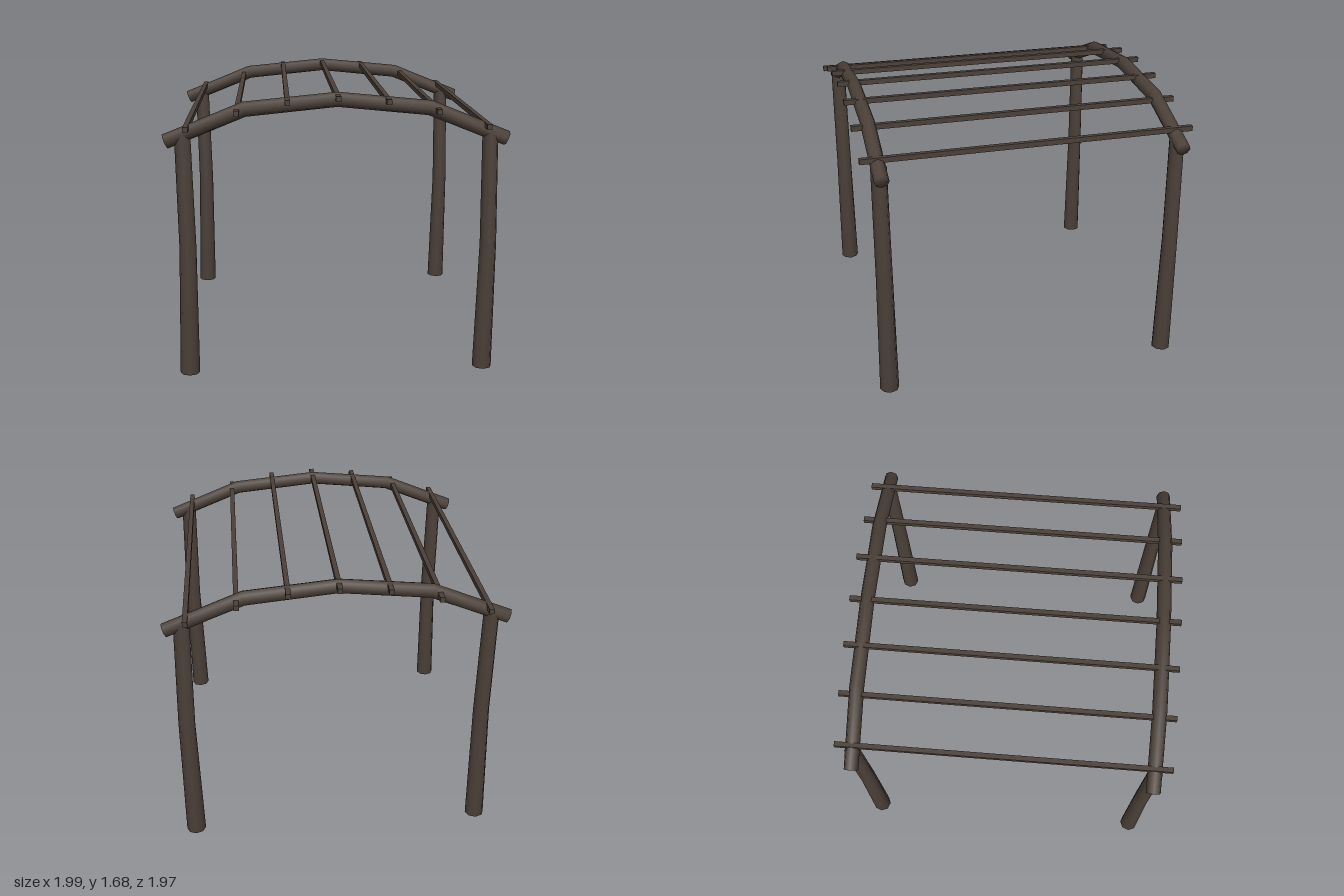
import * as THREE from 'three';

const SIDES = 8;

// Round log swept along points [x, y, radius] in the xy plane; smooth all over, ends included
function logGeometry(path) {
  const pts = path.map(([x, y]) => new THREE.Vector2(x, y));
  const pos = [], idx = [];
  const last = pts.length - 1;
  pts.forEach((p, i) => {
    const a = pts[Math.max(i - 1, 0)], b = pts[Math.min(i + 1, last)];
    const t = b.clone().sub(a).normalize();
    for (let j = 0; j < SIDES; j++) {
      const ang = (j / SIDES) * Math.PI * 2, r = path[i][2];
      pos.push(p.x - t.y * r * Math.cos(ang), p.y + t.x * r * Math.cos(ang), r * Math.sin(ang));
    }
  });
  const start = pos.length / 3;
  pos.push(pts[0].x, pts[0].y, 0, pts[last].x, pts[last].y, 0);
  for (let j = 0; j < SIDES; j++) {
    const k = (j + 1) % SIDES, e = last * SIDES;
    for (let i = 0; i < last; i++) {
      const a = i * SIDES + j, b = i * SIDES + k;
      idx.push(a, b, b + SIDES, a, b + SIDES, a + SIDES);
    }
    idx.push(start, k, j, start + 1, e + j, e + k);
  }
  const g = new THREE.BufferGeometry();
  g.setAttribute('position', new THREE.Float32BufferAttribute(pos, 3));
  g.setIndex(idx);
  g.computeVertexNormals();
  return g;
}

export function createModel() {
  const model = new THREE.Group();
  model.name = 'pergola';
  const wood = new THREE.MeshStandardMaterial({ color: 0x4b4039 });
  wood.name = 'dark weathered wood';

  const add = (name, geometry, x, y, z) => {
    const mesh = new THREE.Mesh(geometry, wood);
    mesh.name = name;
    mesh.position.set(x, y, z);
    model.add(mesh);
  };

  // Slightly crooked, tapered post and arched beam
  const post = logGeometry([[0, 0, 0.058], [0.011, 0.78, 0.049], [0, 1.45, 0.046]]);
  const beam = logGeometry([
    [-0.978, 1.403, 0.043], [-0.53, 1.583, 0.044], [0, 1.635, 0.043],
    [0.53, 1.583, 0.044], [0.978, 1.403, 0.043],
  ]);
  for (const z of [0.885, -0.885]) {
    const end = z > 0 ? 'front' : 'back';
    add(`${end}Beam`, beam, 0, 0, z);
    add(`${end}LeftPost`, post, 0.88, 0, z);
    add(`${end}RightPost`, post, -0.88, 0, z);
  }

  // Thin rafters following the arch
  const rafter = new THREE.BoxGeometry(0.029, 0.031, 1.974);
  const heights = [1.65, 1.63, 1.572, 1.485];
  for (let i = -3; i <= 3; i++) add(`rafter${i + 4}`, rafter, i * 0.285, heights[Math.abs(i)], 0);

  return model;
}
